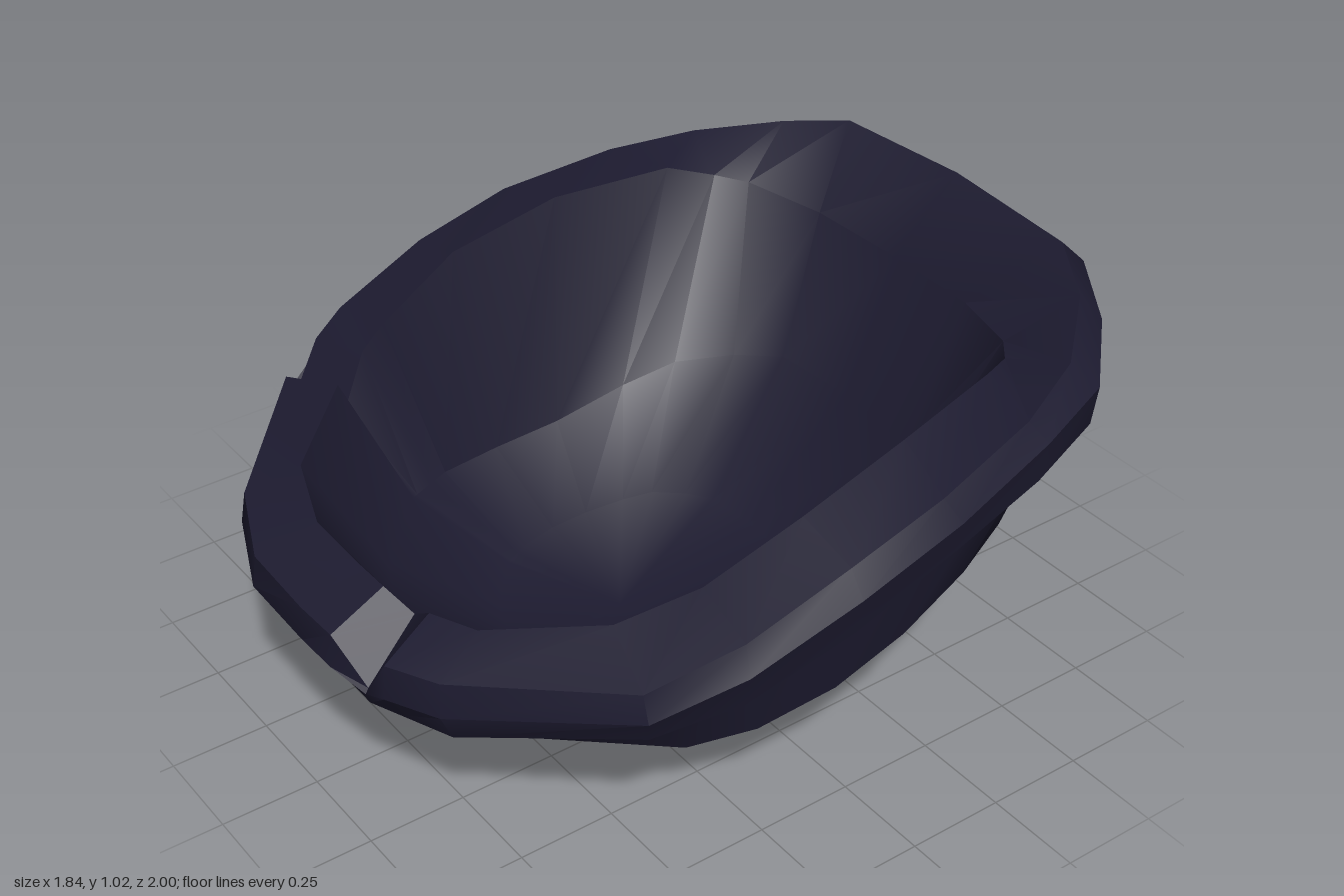
import * as THREE from 'three';
import { toCreasedNormals } from 'three/addons/utils/BufferGeometryUtils.js';

// Half of the rim, from the back round the left side to the front.
// Each station: widest edge x,y,z / upper outer edge x,y,z / inner edge x,y,z
const STATIONS = [
  [0, .95, -1, 0, 1.02, -.93, 0, .84, -.74],
  [.41, .94, -.98, .40, 1.01, -.91, .28, .85, -.72],
  [.60, .91, -.86, .56, .97, -.82, .49, .87, -.65],
  [.78, .88, -.68, .72, .93, -.64, .56, .88, -.59],
  [.85, .85, -.46, .81, .90, -.43, .62, .91, -.48],
  [.905, .79, -.16, .87, .85, -.13, .69, .89, -.17],
  [.92, .72, .13, .875, .78, .13, .71, .82, .13],
  [.88, .61, .40, .85, .68, .39, .67, .71, .37],
  [.79, .52, .60, .77, .59, .60, .59, .64, .55],
  [.45, .46, .91, .44, .545, .90, .39, .60, .77],
  [.23, .44, 1, .225, .525, .99, .19, .58, .84],
  [0, .43, 1, 0, .52, .995, 0, .575, .84],
];
// Height of the lower rim edge by depth (z, y)
const UNDER = [[-1, .82], [-.6, .745], [-.2, .69], [.04, .63], [.5, .45], [.86, .355], [1, .35]];

function underHeight(z) {
  let i = 0;
  while (i < UNDER.length - 2 && z > UNDER[i + 1][0]) i++;
  const [z0, y0] = UNDER[i], [z1, y1] = UNDER[i + 1];
  return y0 + (y1 - y0) * (z - z0) / (z1 - z0);
}

// One section through the vessel, from the bottom pole over the rim to the floor pole
function section({ t, side, notch }) {
  const k = Math.min(Math.floor(t), STATIONS.length - 2);
  const s = STATIONS[k].map((v, i) => v + (STATIONS[k + 1][i] - v) * (t - k));
  const [x, , z] = s;
  const widest = s.slice(0, 3), upper = s.slice(3, 6), inner = s.slice(6, 9);
  if (notch === 'front') {
    widest[1] -= .03; widest[2] -= .03;
    upper[1] -= .105; upper[2] -= .03;
    inner[1] -= .06; inner[2] -= .04; inner[0] -= .02;
  } else if (notch === 'side') {
    upper[1] -= .08;
    inner[1] -= .09;
  }
  const ring = (sx, sz, cz, height) => {
    const px = x * sx, pz = cz + z * sz;
    return [px, height(px, pz), pz];
  };
  const su = .885 - .025 * z, sp = .975 - .02 * z;
  const points = [
    [0, 0, .16],
    ring(.22, .12, .13, (a, b) => .004 + .5 * a * a + .5 * (b - .17) ** 2),
    ring(.5, .385, .015, (a, b) => .115 - .04 * b + .3 * a * a),
    ring(.825, .73, -.04, (a, b) => .35 - .233 * b),
    ring(su, su, 0, (a, b) => underHeight(b)),
    ring(sp, sp, 0, (a, b) => underHeight(b) + .02),
    widest, upper, inner,
    ring(.6, .64, .04, (a, b) => .30 + .03 * Math.max(0, b) + .3 * Math.max(0, -b)),
    ring(.35, .35, .06, (a, b) => .18 - .08 * b),
    [0, .13, .12],
  ];
  return points.map(([px, py, pz]) => [px * side, py, pz]);
}

// Sections all the way round, with extra ones where the rim is chipped
function allSections() {
  const list = [];
  for (let t = 0; t <= 9; t++) list.push({ t, side: 1 });
  list.push({ t: 9.64, side: 1 }, { t: 10, side: 1, notch: 'front' }, { t: 10.43, side: 1 });
  for (let t = 11; t >= 8; t--) list.push({ t, side: -1 });
  list.push({ t: 7.88, side: -1, notch: 'side' }, { t: 7.45, side: -1 });
  for (let t = 7; t >= 1; t--) list.push({ t, side: -1 });
  return list.map(section);
}

// Skin the rows from first to last of the sections
function skin(name, sections, first, last, material) {
  const n = sections.length, end = sections[0].length - 1, pos = [];
  for (let j = first; j < last; j++) {
    for (let i = 0; i < n; i++) {
      const p = sections[i], q = sections[(i + 1) % n];
      if (j > 0) pos.push(...p[j], ...p[j + 1], ...q[j]);
      if (j + 1 < end) pos.push(...q[j], ...p[j + 1], ...q[j + 1]);
    }
  }
  const geometry = new THREE.BufferGeometry();
  geometry.setAttribute('position', new THREE.Float32BufferAttribute(pos, 3));
  const mesh = new THREE.Mesh(toCreasedNormals(geometry, .65), material);
  mesh.name = name;
  return mesh;
}

export function createModel() {
  const group = new THREE.Group();
  group.name = 'chippedBowl';
  const material = new THREE.MeshStandardMaterial({ color: 0x1d1b30 });
  const sections = allSections();
  group.add(
    skin('outerBowl', sections, 0, 4, material),
    skin('rim', sections, 4, 7, material),
    skin('innerBowl', sections, 7, 11, material),
  );
  return group;
}
